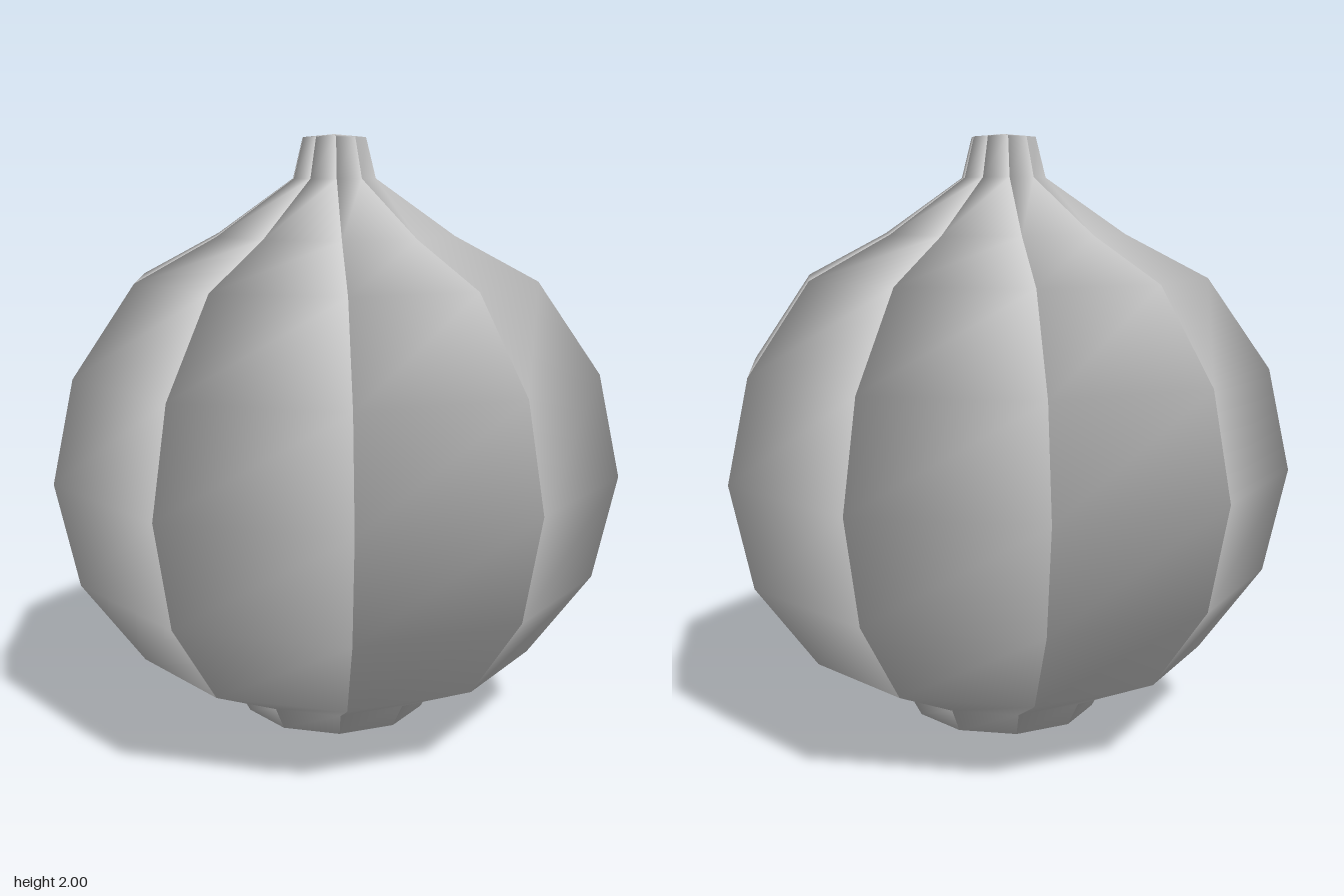
import * as THREE from 'three';
import { mergeVertices } from 'three/addons/utils/BufferGeometryUtils.js';

const SEGMENTS = 10;
const STEP = (Math.PI * 2) / SEGMENTS;

// Ridge profile from the base tip to the neck cap: [radius, height]
const PROFILE = [
  [0, 0], [0.31, 0.065], [0.355, 0.148], [0.67, 0.3], [0.873, 0.58], [0.945, 0.92],
  [0.873, 1.25], [0.67, 1.54], [0.4, 1.68], [0.139, 1.86], [0.106, 1.99], [0, 2],
];

// One closed wedge: a triangular section (axis, right ridge, left ridge) at each
// height. Welding it lets the outer face blend smoothly into the radial walls.
function wedgeGeometry() {
  const positions = [];
  const index = [];
  PROFILE.forEach(([r, y], k) => {
    positions.push(0, y, 0, 0, y, r, r * Math.sin(STEP), y, r * Math.cos(STEP));
    if (k === 0) return;
    for (let i = 0; i < 3; i++) {
      const j = (i + 1) % 3;
      const low = (k - 1) * 3;
      const up = k * 3;
      index.push(low + i, low + j, up + j, low + i, up + j, up + i);
    }
  });
  const geometry = new THREE.BufferGeometry();
  geometry.setAttribute('position', new THREE.Float32BufferAttribute(positions, 3));
  geometry.setIndex(index);
  const welded = mergeVertices(geometry);
  welded.computeVertexNormals();
  return welded;
}

export function createModel() {
  const group = new THREE.Group();
  group.name = 'segmentedBulb';
  const geometry = wedgeGeometry();
  const material = new THREE.MeshStandardMaterial({ color: 0xcccccc });

  // Ten equal segments around the upright axis
  for (let i = 0; i < SEGMENTS; i++) {
    const segment = new THREE.Mesh(geometry, material);
    segment.name = `bulbSegment${i + 1}`;
    segment.rotation.y = i * STEP;
    group.add(segment);
  }
  return group;
}
